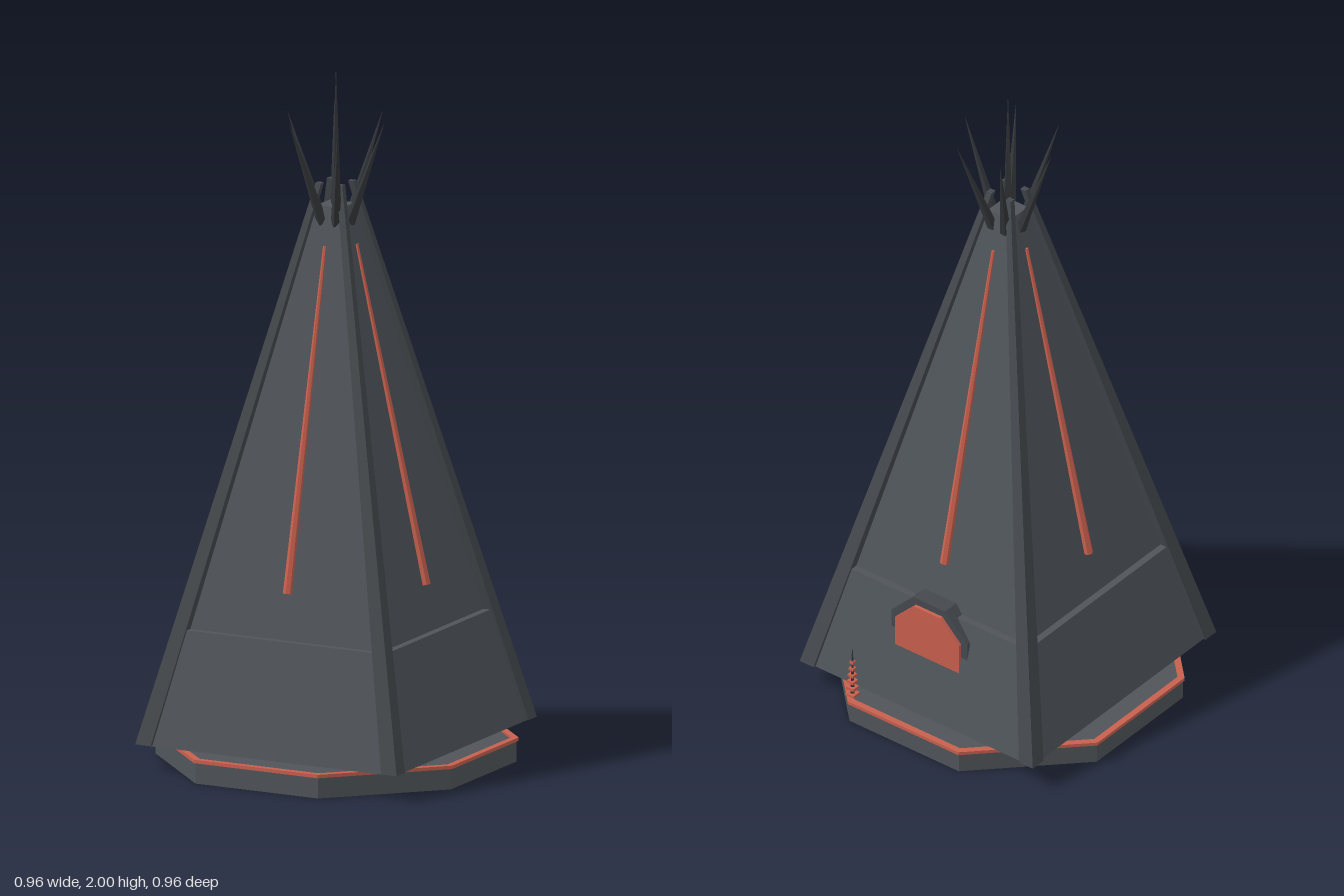
import * as THREE from 'three';

const mat = (name, color) => {
  const m = new THREE.MeshStandardMaterial({ color, flatShading: true });
  m.name = name;
  return m;
};

export function createModel() {
  const slate = mat('slate', 0x50555a);
  const darkSlate = mat('darkSlate', 0x45494d);
  const iron = mat('iron', 0x34373a);
  const coral = mat('coral', 0xc8604e);

  const group = new THREE.Group();
  const add = (name, geometry, material, x = 0, y = 0, z = 0) => {
    const mesh = new THREE.Mesh(geometry, material);
    mesh.name = name;
    mesh.position.set(x, y, z);
    group.add(mesh);
    return mesh;
  };

  // Square frustum: half widths and heights at bottom and top
  const frustum = (h0, y0, h1, y1) =>
    new THREE.CylinderGeometry(h1 * Math.SQRT2, h0 * Math.SQRT2, y1 - y0, 4)
      .rotateY(Math.PI / 4).translate(0, (y0 + y1) / 2, 0);

  // Octagonal prism with flats facing the axes, sized by its apothem
  const octagon = (apothem, height) => {
    const r = apothem / Math.cos(Math.PI / 8);
    return new THREE.CylinderGeometry(r, r, height, 8).rotateY(Math.PI / 8);
  };

  // Tapered rod between two points
  const rod = (a, b, r0, r1, sides) => {
    const dir = b.clone().sub(a);
    const g = new THREE.CylinderGeometry(r1, r0, dir.length(), sides);
    g.applyQuaternion(new THREE.Quaternion().setFromUnitVectors(
      new THREE.Vector3(0, 1, 0), dir.clone().normalize()));
    const mid = a.clone().add(b).multiplyScalar(0.5);
    return g.translate(mid.x, mid.y, mid.z);
  };
  const v = (x, y, z) => new THREE.Vector3(x, y, z);

  // Octagonal base with a raised rim
  add('base', octagon(0.475, 0.064), slate, 0, 0.032, 0);
  const ring = (apothem) => {
    const r = apothem / Math.cos(Math.PI / 8);
    return Array.from({ length: 8 }, (_, i) => {
      const a = Math.PI / 8 + i * Math.PI / 4;
      return new THREE.Vector2(r * Math.cos(a), r * Math.sin(a));
    });
  };
  const rimShape = new THREE.Shape(ring(0.48));
  rimShape.holes.push(new THREE.Path(ring(0.461)));
  const rim = new THREE.ExtrudeGeometry(rimShape, { depth: 0.01, bevelEnabled: false });
  add('baseRim', rim.rotateX(-Math.PI / 2), coral, 0, 0.06, 0);

  // Tower body: wider skirt and tall tapering upper part
  add('skirt', frustum(0.41, 0.075, 0.335, 0.405), slate);
  add('tower', frustum(0.315, 0.4, 0.04, 1.61), slate);

  // Corner beams leaning inward, poking out above the cap
  for (const sx of [-1, 1]) for (const sz of [-1, 1]) {
    const g = new THREE.BoxGeometry(1, 1, 1);
    const p = g.attributes.position;
    for (let i = 0; i < p.count; i++) {
      const top = p.getY(i) > 0;
      const size = top ? 0.018 : 0.05, c = top ? 0.034 : 0.395;
      p.setXYZ(i, sx * c + p.getX(i) * size, top ? 1.675 : 0.078, sz * c + p.getZ(i) * size);
    }
    g.computeVertexNormals();
    add('cornerBeam', g, darkSlate);
  }

  // Glowing strip up the middle of every side
  for (let i = 0; i < 4; i++) {
    const strip = add('sideStrip',
      rod(v(0, 0.535, 0.291), v(0, 1.5, 0.067), 0.013, 0.005, 6), coral);
    strip.rotation.y = i * Math.PI / 2;
  }

  // Crown of spikes around a taller centre spike
  add('centreSpike', rod(v(0, 1.56, 0), v(0, 2, 0), 0.018, 0.0005, 4), iron);
  for (let i = 0; i < 6; i++) {
    const a = i * Math.PI / 3, c = Math.cos(a), s = Math.sin(a);
    add('crownSpike',
      rod(v(c * 0.045, 1.56, s * 0.045), v(c * 0.155, 1.86, s * 0.155), 0.017, 0.0005, 5), iron);
  }

  // Octagonal doorway set into the rear skirt
  add('doorFrame', octagon(0.137, 0.12).rotateX(Math.PI / 2), darkSlate, 0, 0.293, -0.3);
  add('door', octagon(0.115, 0.02).rotateX(Math.PI / 2), coral, 0, 0.293, -0.361);

  // Small ringed mast on the base
  const mx = 0.21, mz = -0.445;
  add('mast', rod(v(0, 0.064, 0), v(0, 0.225, 0), 0.008, 0.002, 4), iron, mx, 0, mz);
  for (let i = 0; i < 6; i++) {
    const h = 0.015 - i * 0.0018;
    add('mastRing', new THREE.BoxGeometry(2 * h, 0.008, 2 * h), coral, mx, 0.072 + i * 0.022, mz);
  }

  return group;
}
